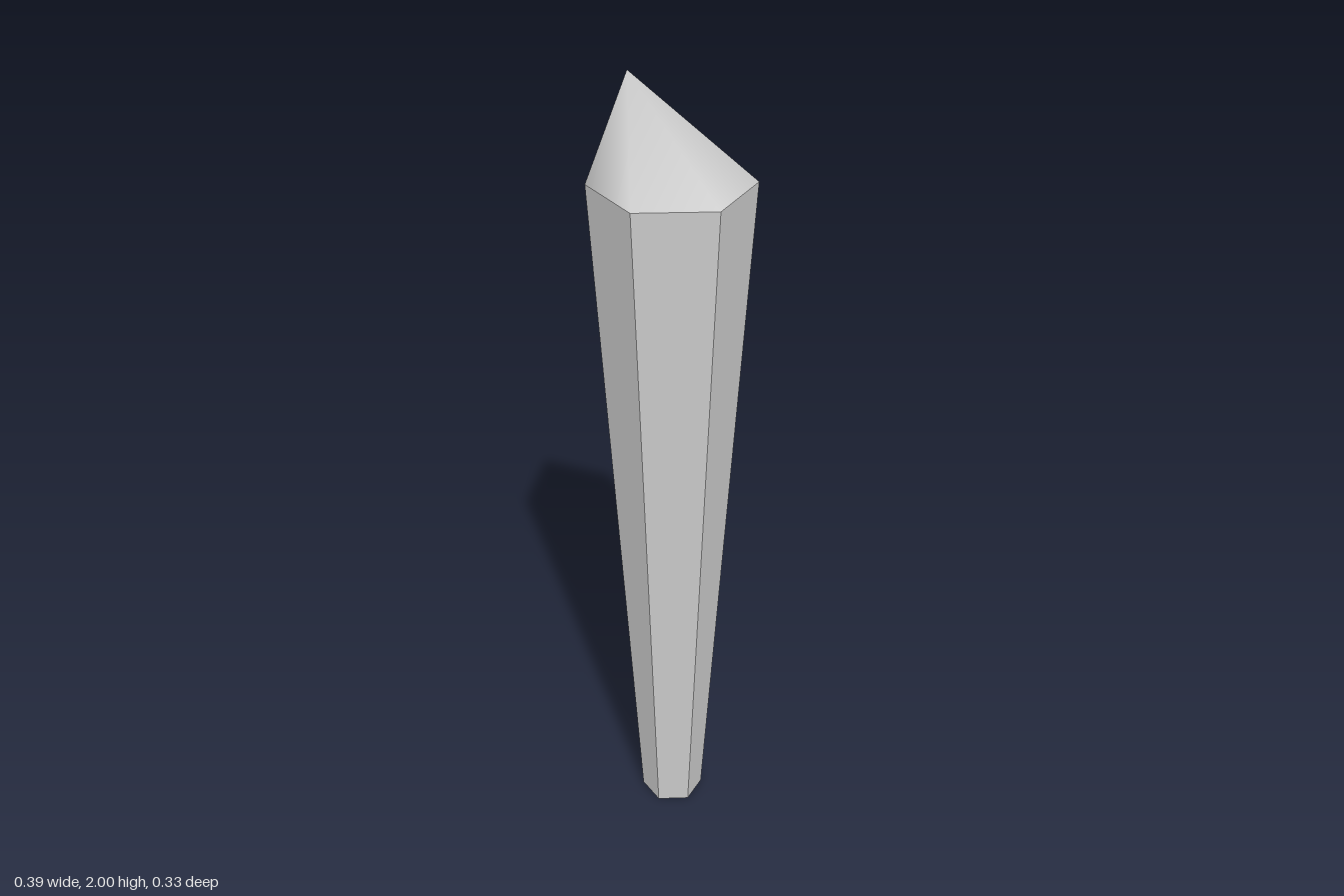
import * as THREE from 'three';
import { mergeVertices } from 'three/addons/utils/BufferGeometryUtils.js';

const SIDES = 6;
const BOTTOM_RADIUS = 0.08;
const RIM_RADIUS = 0.193;
const RIM_Y = 1.77;
const APEX = new THREE.Vector3(-0.095, 2, -0.083);

export function createModel() {
  const group = new THREE.Group();
  group.name = 'crystalShard';

  // Tapered hexagonal shaft, corners on the x axis, closed at the bottom
  const shaftGeometry = new THREE.CylinderGeometry(RIM_RADIUS, BOTTOM_RADIUS, RIM_Y, SIDES);
  shaftGeometry.rotateY(Math.PI / 6).translate(0, RIM_Y / 2, 0);
  const shaft = new THREE.Mesh(
    shaftGeometry,
    new THREE.MeshStandardMaterial({ color: 0xcccccc, flatShading: true })
  );
  shaft.name = 'shaft';
  group.add(shaft);

  // Smooth-shaded tip: a hexagonal cone with its apex pulled off centre
  const height = APEX.y - RIM_Y;
  let tipGeometry = new THREE.ConeGeometry(RIM_RADIUS, height, SIDES, 1, true);
  tipGeometry.rotateY(Math.PI / 6).translate(0, RIM_Y + height / 2, 0);
  tipGeometry.deleteAttribute('normal');
  tipGeometry.deleteAttribute('uv');
  tipGeometry = mergeVertices(tipGeometry);
  const position = tipGeometry.attributes.position;
  for (let i = 0; i < position.count; i++) {
    if (position.getY(i) > RIM_Y + height / 2) position.setXYZ(i, APEX.x, APEX.y, APEX.z);
  }
  tipGeometry.computeVertexNormals();
  const tip = new THREE.Mesh(tipGeometry, new THREE.MeshStandardMaterial({ color: 0xcccccc }));
  tip.name = 'tip';
  group.add(tip);

  return group;
}
